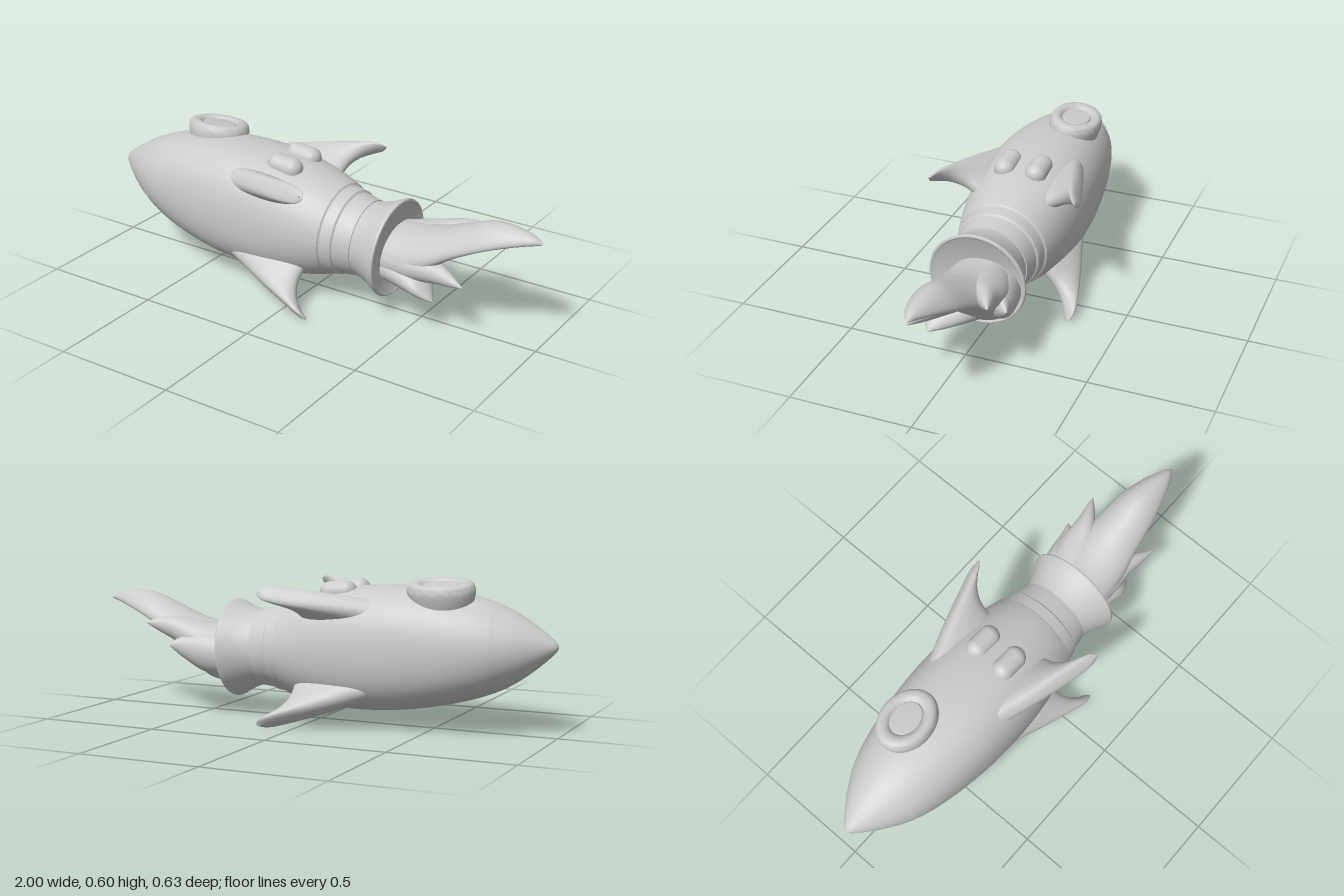
import * as THREE from 'three';
import { toCreasedNormals } from 'three/addons/utils/BufferGeometryUtils.js';
import { RoundedBoxGeometry } from 'three/addons/geometries/RoundedBoxGeometry.js';

const material = new THREE.MeshStandardMaterial({ color: 0xcccccc });

function part(name, geometry, parent) {
  const mesh = new THREE.Mesh(geometry, material);
  mesh.name = name;
  parent.add(mesh);
  return mesh;
}

// Surface of revolution about y from [radius, height] pairs
function turned(pairs, smooth = false) {
  let points = pairs.map(([r, h]) => new THREE.Vector2(r, h));
  if (smooth) {
    points = new THREE.SplineCurve(points).getPoints(48);
    points.forEach((p) => { p.x = Math.max(p.x, 0); });
  }
  const geometry = new THREE.LatheGeometry(points, 64);
  return smooth ? geometry : toCreasedNormals(geometry, 0.6);
}

// Surface of revolution about x from [x, radius] pairs
const turnedX = (pairs, smooth) =>
  turned(pairs.map(([x, r]) => [r, x]), smooth).rotateZ(-Math.PI / 2);

// Hull: turned, then made slightly square in section toward its middle
function hullGeometry() {
  const geometry = turnedX([
    [-0.79, 0.154], [-0.772, 0.165], [-0.7, 0.189], [-0.6, 0.211], [-0.5, 0.226], [-0.4, 0.236],
    [-0.28, 0.241], [-0.16, 0.239], [-0.05, 0.228], [0.05, 0.21], [0.12, 0.193],
  ], true);
  const p = geometry.attributes.position;
  for (let i = 0; i < p.count; i++) {
    const t = THREE.MathUtils.clamp((p.getX(i) + 0.79) / 0.91, 0, 1);
    const fade = Math.sin(Math.PI * t) ** 0.8;
    const square = 1 + 0.065 * fade * Math.sin(2 * Math.atan2(p.getY(i), p.getZ(i))) ** 2;
    p.setY(i, p.getY(i) * square * (1 + 0.035 * fade));
    p.setZ(i, p.getZ(i) * square);
  }
  geometry.computeVertexNormals();
  return geometry;
}

// Smooth skin through sections; ring(section, angle) returns one point
function loft(sections, ring, steps = 40, sides = 40) {
  const curves = sections[0].map((_, k) =>
    new THREE.SplineCurve(sections.map((s) => new THREE.Vector2(s[k], 0))));
  const positions = [];
  const index = [];
  for (let i = 0; i <= steps; i++) {
    const section = curves.map((c) => c.getPoint(i / steps).x);
    for (let j = 0; j < sides; j++) {
      positions.push(...ring(section, (j / sides) * Math.PI * 2));
      if (i === steps) continue;
      const a = i * sides + j;
      const b = i * sides + ((j + 1) % sides);
      index.push(a, b, a + sides, b, b + sides, a + sides);
    }
  }
  const geometry = new THREE.BufferGeometry();
  geometry.setAttribute('position', new THREE.Float32BufferAttribute(positions, 3));
  geometry.setIndex(index);
  geometry.computeVertexNormals();
  return geometry;
}

// Flame sections: x, y, z, half height, half width, hollowing of the underside
const tongue = (sections) => loft(sections, ([x, y, z, ry, rz, cup], a) => {
  const c = Math.cos(a);
  const s = Math.sin(a);
  const height = THREE.MathUtils.lerp(c, 0.5 + 0.5 * c - 1.3 * s * s, cup);
  return [x, y + Math.max(ry, 0) * height, z + Math.max(rz, 0) * s];
});

// Fin sections: distance out, front x, back x, half thickness
const finGeometry = () => loft([
  [-0.08, -0.38, 0.04, 0.052],
  [0, -0.34, 0.035, 0.052],
  [0.05, -0.23, 0.04, 0.048],
  [0.1, -0.1, 0.065, 0.043],
  [0.14, 0.02, 0.105, 0.038],
  [0.162, 0.085, 0.138, 0.028],
  [0.173, 0.125, 0.148, 0.003],
], ([d, front, back, t], a) => {
  const s = Math.sin(a);
  const c = Math.cos(a);
  return [
    (front + back) / 2 + ((back - front) / 2) * Math.sign(s) * Math.abs(s) ** 0.85,
    d,
    t * Math.sign(c) * Math.abs(c) ** 0.85,
  ];
});

export function createModel() {
  const model = new THREE.Group();
  model.name = 'rocket';

  // Rocket axis dips slightly toward the tail
  const ship = new THREE.Group();
  ship.name = 'ship';
  ship.position.y = 0.292;
  ship.rotation.z = -0.058;
  model.add(ship);

  part('noseCone', turnedX([
    [-1, 0], [-0.99, 0.018], [-0.96, 0.046], [-0.9, 0.092], [-0.84, 0.131], [-0.782, 0.162],
  ], true), ship);
  part('hull', hullGeometry(), ship);

  // Stepped collar and flared nozzle with a shallow dished end
  part('collar', turnedX([
    [0.118, 0.193], [0.125, 0.184], [0.172, 0.177], [0.178, 0.169], [0.25, 0.158], [0.255, 0.14],
  ]), ship);
  part('nozzle', turnedX([
    [0.25, 0.13], [0.25, 0.154], [0.265, 0.157], [0.29, 0.164], [0.33, 0.18], [0.365, 0.199],
    [0.375, 0.203], [0.382, 0.201], [0.384, 0.195], [0.376, 0.18], [0.37, 0],
  ]), ship);

  // Oval porthole with a raised rim
  const porthole = part('porthole', turned([
    [0.11, -0.11], [0.128, -0.06], [0.136, -0.025], [0.136, -0.008], [0.132, 0.006], [0.124, 0.015],
    [0.112, 0.019], [0.098, 0.019], [0.086, 0.016], [0.078, 0.009], [0.074, 0.005], [0.07, 0.01], [0, 0.014],
  ]), ship);
  porthole.position.set(-0.562, 0.244, -0.073);
  porthole.rotation.set(-0.14, 0, 0.05);
  porthole.scale.z = 0.8;

  for (const side of [1, -1]) {
    const label = side > 0 ? 'left' : 'right';

    // Small rounded domes on the back
    const dome = part(label + 'Dome', new RoundedBoxGeometry(0.155, 0.11, 0.088, 8, 0.043), ship);
    dome.position.set(-0.125, 0.219, side * 0.067);
    dome.rotation.z = -0.04;

    // Swept fins, upper and lower
    for (const [height, x, y, z, angle] of [
      ['Upper', -0.025, 0.163, 0.162, 58],
      ['Lower', 0.012, -0.157, 0.174, 133],
    ]) {
      const fin = part(label + height + 'Fin', finGeometry(), ship);
      fin.position.set(x, y, side * z);
      fin.rotation.x = side * THREE.MathUtils.degToRad(angle);
    }
  }

  // Exhaust flame: one long hollowed tongue with shorter licks growing out of it
  const flame = new THREE.Group();
  flame.name = 'flame';
  model.add(flame);
  part('mainTongue', tongue([
    [0.34, 0.255, -0.03, 0.115, 0.145, 0],
    [0.45, 0.258, -0.03, 0.117, 0.155, 0],
    [0.55, 0.305, -0.02, 0.092, 0.14, 0.15],
    [0.66, 0.37, -0.012, 0.07, 0.112, 0.4],
    [0.78, 0.425, -0.01, 0.06, 0.092, 0.5],
    [0.88, 0.448, -0.005, 0.042, 0.062, 0.4],
    [0.96, 0.455, 0, 0.021, 0.027, 0.2],
    [1, 0.45, 0, 0.002, 0.002, 0],
  ]), flame);
  const licks = {
    leftLick: [
      [0.36, 0.25, 0.03, 0.09, 0.09, 0], [0.5, 0.255, 0.055, 0.065, 0.075, 0],
      [0.6, 0.257, 0.08, 0.045, 0.045, 0], [0.68, 0.254, 0.108, 0.024, 0.024, 0],
      [0.74, 0.25, 0.13, 0.002, 0.002, 0],
    ],
    lowerLick: [
      [0.36, 0.22, 0, 0.08, 0.12, 0], [0.45, 0.204, 0.02, 0.066, 0.115, 0],
      [0.53, 0.183, 0.065, 0.045, 0.08, 0], [0.58, 0.158, 0.095, 0.02, 0.035, 0],
      [0.605, 0.143, 0.11, 0.002, 0.002, 0],
    ],
    upperRightLick: [
      [0.36, 0.27, -0.06, 0.09, 0.09, 0], [0.5, 0.31, -0.095, 0.075, 0.085, 0],
      [0.6, 0.35, -0.125, 0.053, 0.05, 0], [0.67, 0.368, -0.158, 0.027, 0.024, 0],
      [0.715, 0.375, -0.183, 0.002, 0.002, 0],
    ],
    lowerRightLick: [
      [0.36, 0.25, -0.1, 0.09, 0.08, 0], [0.46, 0.262, -0.125, 0.085, 0.072, 0],
      [0.53, 0.278, -0.155, 0.055, 0.046, 0], [0.57, 0.288, -0.187, 0.025, 0.021, 0],
      [0.59, 0.292, -0.207, 0.002, 0.002, 0],
    ],
  };
  for (const [name, sections] of Object.entries(licks)) part(name, tongue(sections), flame);

  return model;
}
